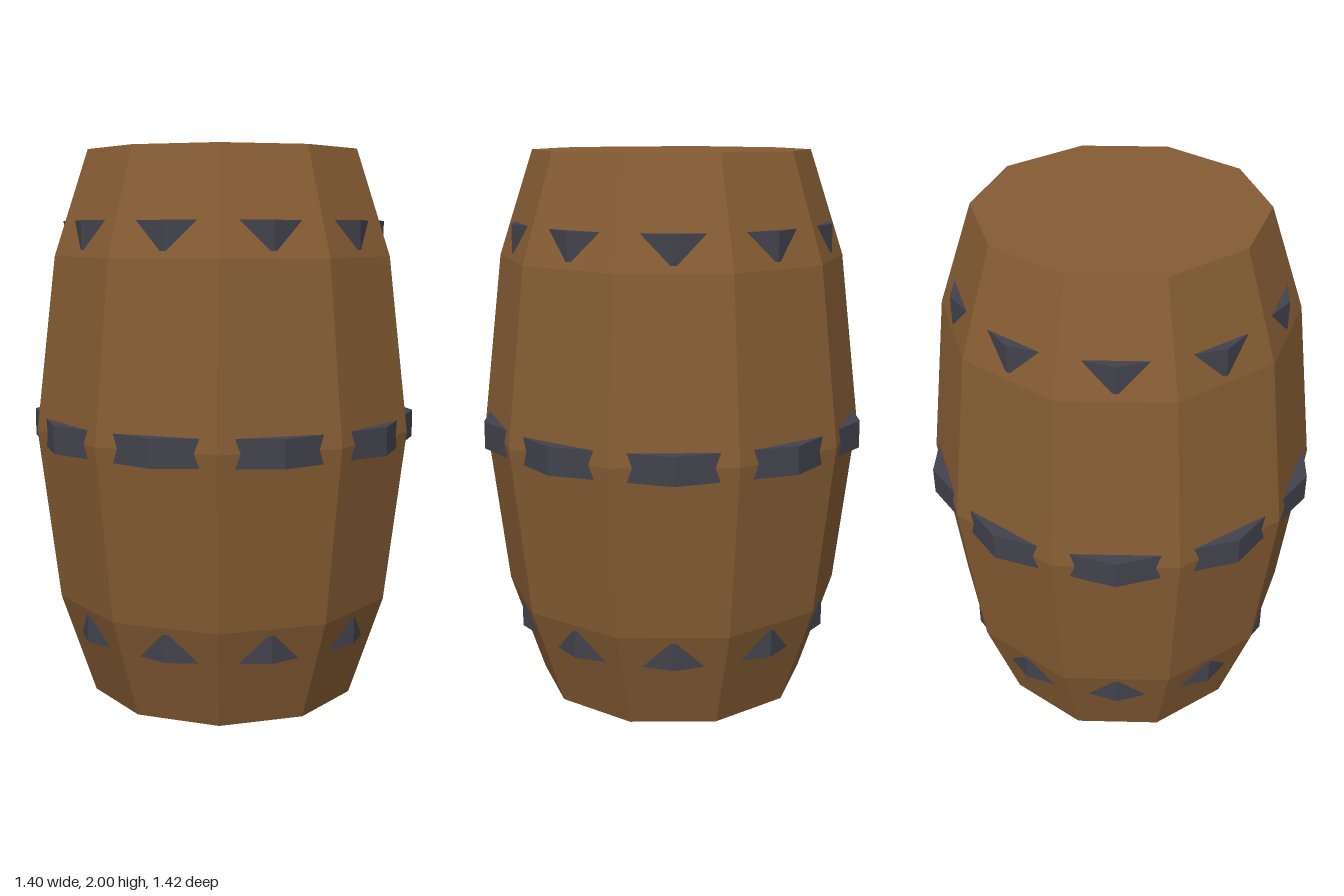
import * as THREE from 'three';

const SIDES = 10;

export function createModel() {
  const wood = new THREE.MeshStandardMaterial({ color: 0x855c33, flatShading: true });
  wood.name = 'brown wood';
  const iron = new THREE.MeshStandardMaterial({ color: 0x42424d, flatShading: true });
  iron.name = 'dark iron';

  const barrel = new THREE.Group();
  barrel.name = 'barrel';

  // Bulging body with closed ends; corners lie on the x axis
  const profile = [[0, 0], [0.5, 0], [0.625, 0.375], [0.7, 1], [0.625, 1.625], [0.5, 2], [0, 2]]
    .map(([r, y]) => new THREE.Vector2(r, y));
  const body = new THREE.Mesh(new THREE.LatheGeometry(profile, SIDES, Math.PI / SIDES), wood);
  body.name = 'body';
  barrel.add(body);

  // Hoops are turned half a side, so only their corners poke out of the staves
  const hoops = [['lowerHoop', 0.59, 0.3], ['middleHoop', 0.71, 1], ['upperHoop', 0.59, 1.7]];
  for (const [name, radius, y] of hoops) {
    const hoop = new THREE.Mesh(new THREE.CylinderGeometry(radius, radius, 0.1, SIDES), iron);
    hoop.name = name;
    hoop.position.y = y;
    barrel.add(hoop);
  }
  return barrel;
}
